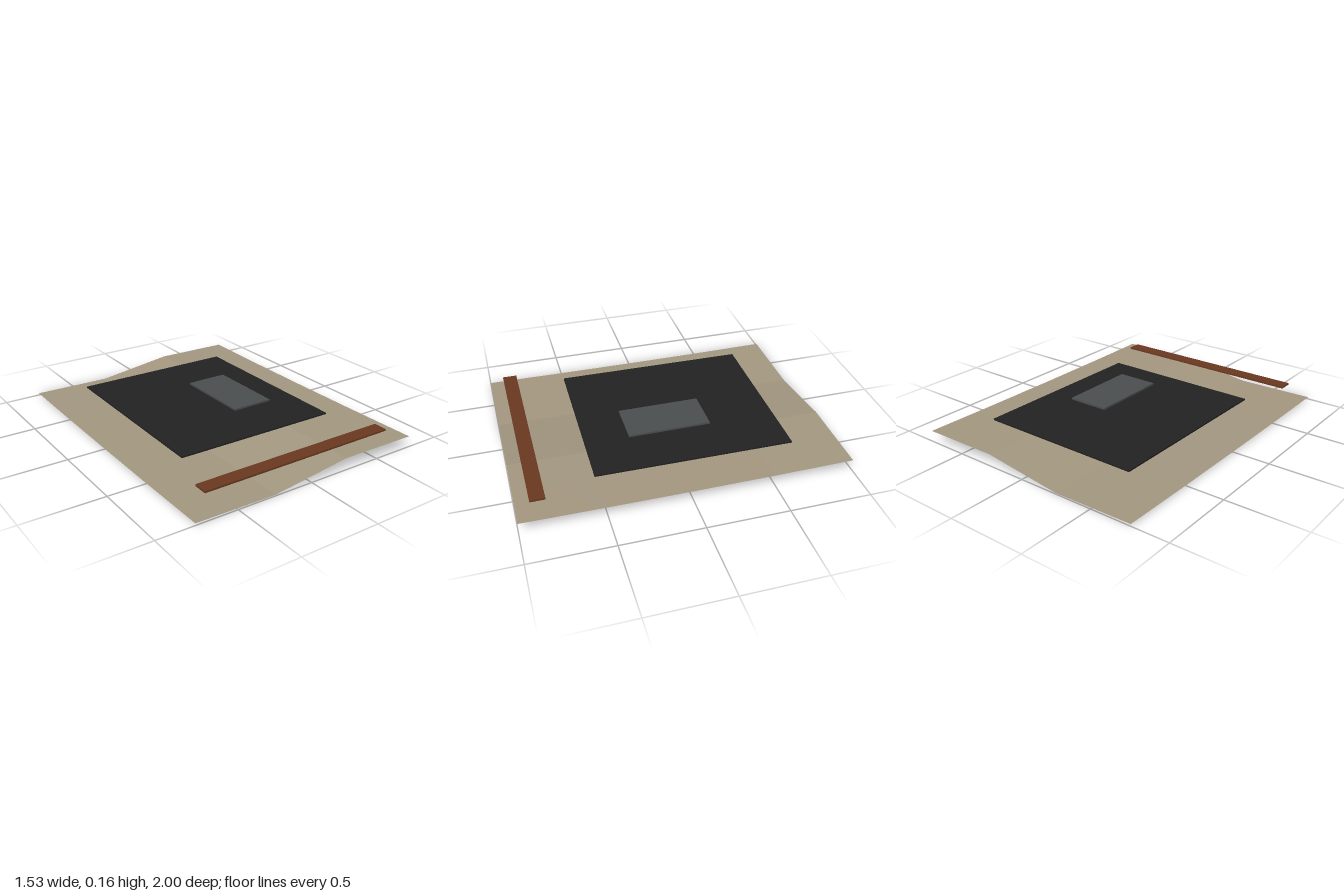
import * as THREE from 'three';

export function createModel() {
  const model = new THREE.Group();
  const material = (name, color, side = THREE.FrontSide) => {
    const m = new THREE.MeshStandardMaterial({ color, side });
    m.name = name;
    return m;
  };
  const tan = material('tan cloth', 0xa39780, THREE.DoubleSide);
  const black = material('black mat', 0x222222);
  const grey = material('slate grey', 0x4a4e4f);
  const brown = material('brown wood', 0x6a3920);
  tan.flatShading = true;

  // Thin sheet with a gentle step across its width, sagging slightly mid-length
  const heights = [0.009, 0.002, 0.072, 0.067];
  const sheetGeometry = new THREE.PlaneGeometry(1.53, 2, 3, 4).rotateX(-Math.PI / 2);
  const p = sheetGeometry.attributes.position;
  for (let i = 0; i < p.count; i++) {
    const column = Math.round((p.getX(i) + 0.765) / 0.51);
    const z = p.getZ(i);
    p.setY(i, heights[column] + 0.006 * z * z - 0.002);
  }
  sheetGeometry.computeVertexNormals();
  const sheet = new THREE.Mesh(sheetGeometry, tan);
  sheet.name = 'sheet';
  model.add(sheet);

  // Flat slabs floating above the sheet
  const slab = (name, mat, size, position, turn = 0) => {
    const mesh = new THREE.Mesh(new THREE.BoxGeometry(...size), mat);
    mesh.name = name;
    mesh.position.set(...position);
    mesh.rotation.y = turn;
    model.add(mesh);
  };
  slab('darkPanel', black, [1.065, 0.01, 1.225], [0, 0.103, -0.093], -0.008);
  slab('smallPlate', grey, [0.27, 0.012, 0.515], [0.15, 0.157, 0]);
  slab('frontBar', brown, [1.3, 0.011, 0.09], [0, 0.111, 0.87]);

  return model;
}
